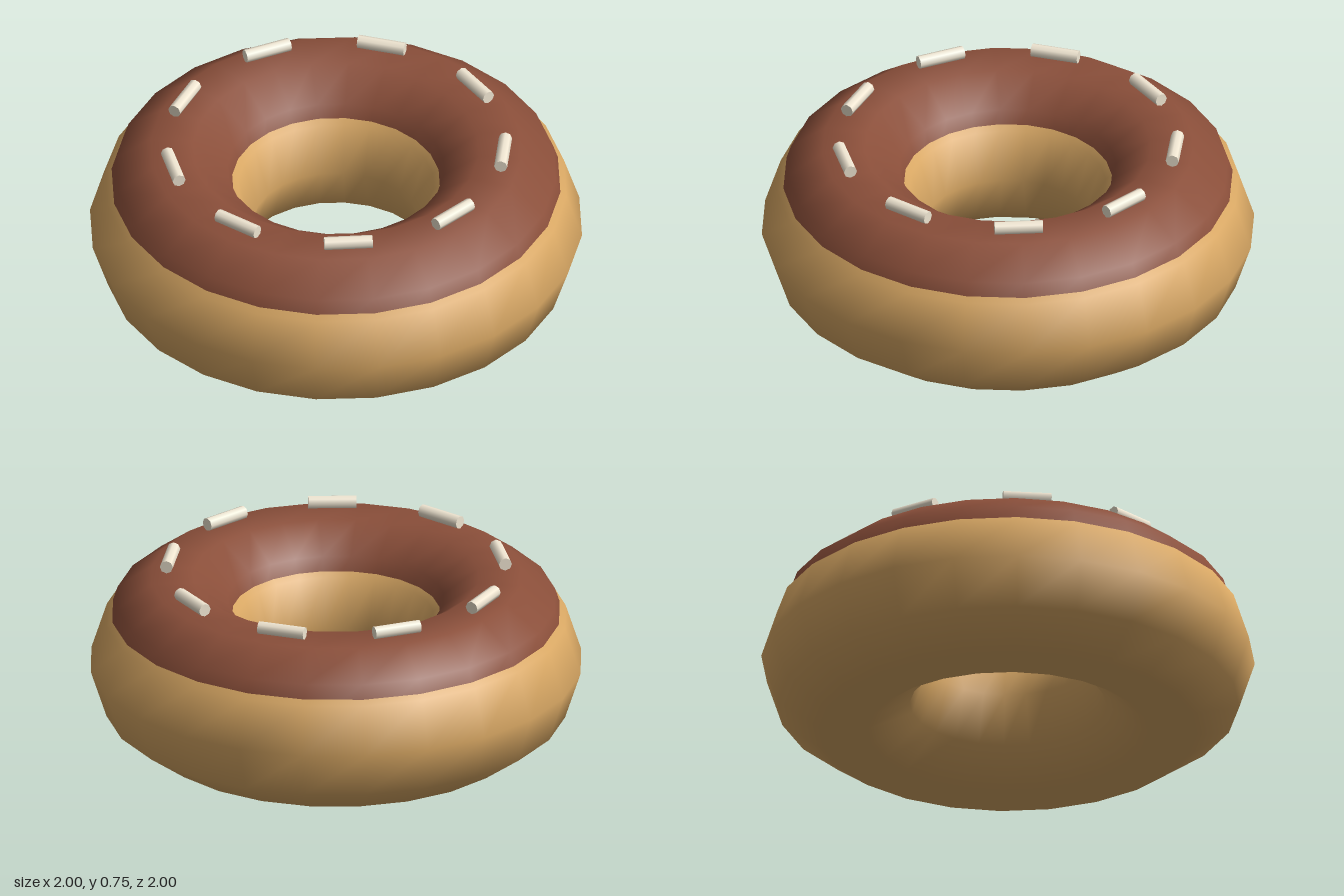
import * as THREE from 'three';

const RING_RADIUS = 0.667;

// Flat-lying ring with a ten-sided section
function ring(name, tube, y, material) {
  const geometry = new THREE.TorusGeometry(RING_RADIUS, tube, 10, 24);
  geometry.rotateX(-Math.PI / 2);
  const mesh = new THREE.Mesh(geometry, material);
  mesh.name = name;
  mesh.position.y = y;
  return mesh;
}

export function createModel() {
  const model = new THREE.Group();
  model.name = 'doughnut';
  const dough = new THREE.MeshStandardMaterial({ color: 0xd9a864 });
  const chocolate = new THREE.MeshStandardMaterial({ color: 0x8b4f3a });
  const cream = new THREE.MeshStandardMaterial({ color: 0xf0e6d2 });

  // Dough, with a thinner icing ring rising out of its top
  model.add(ring('dough', 0.333, 0.317, dough));
  model.add(ring('icing', 0.28, 0.423, chocolate));

  // Nine sprinkles lying along the ring
  const stick = new THREE.CylinderGeometry(0.027, 0.027, 0.196, 8);
  stick.rotateX(Math.PI / 2);
  const sprinkles = new THREE.Group();
  sprinkles.name = 'sprinkles';
  for (let i = 0; i < 9; i++) {
    const angle = 0.45 + (i * Math.PI * 2) / 9;
    const sprinkle = new THREE.Mesh(stick, cream);
    sprinkle.name = `sprinkle${i + 1}`;
    sprinkle.position.set(0.68 * Math.cos(angle), 0.724, 0.68 * Math.sin(angle));
    sprinkle.rotation.y = -angle;
    sprinkles.add(sprinkle);
  }
  model.add(sprinkles);

  return model;
}
